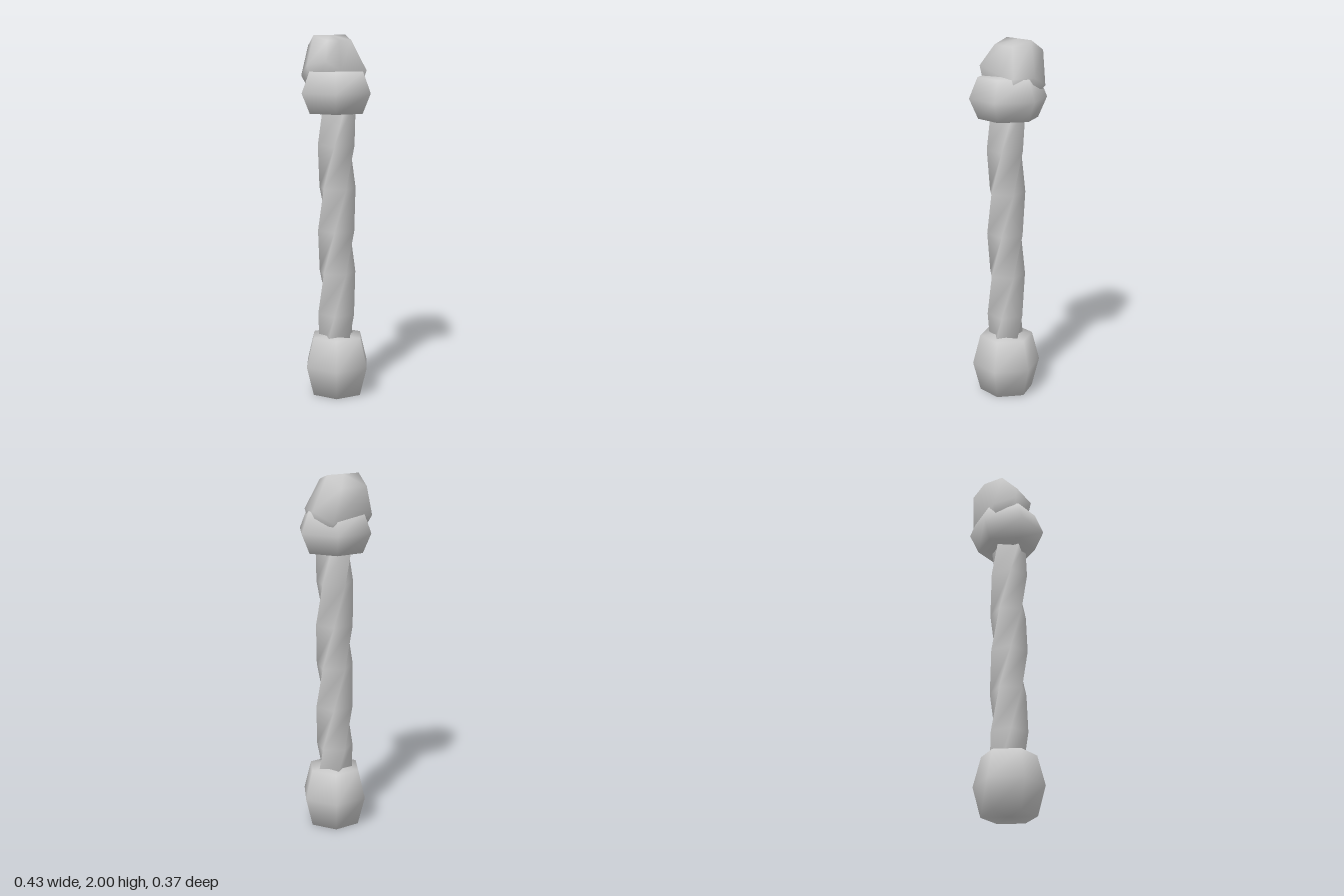
import * as THREE from 'three';

const material = new THREE.MeshStandardMaterial({ color: 0xcccccc });

// Regular polygon ring, counter-clockwise from above, starting at +z
function ring(sides, radius, y, turn, cx = 0, cz = 0) {
  return Array.from({ length: sides }, (_, i) => {
    const a = turn + (i / sides) * Math.PI * 2;
    return [cx + radius * Math.sin(a), y, cz + radius * Math.cos(a)];
  });
}

// Closed smooth skin through rings listed from bottom to top
function loft(name, rings, topCentre) {
  const n = rings[0].length;
  const last = (rings.length - 1) * n;
  const mean = r => [0, 1, 2].map(k => r.reduce((s, p) => s + p[k], 0) / n);
  const points = [...rings.flat(), mean(rings[0]), topCentre || mean(rings[rings.length - 1])];
  const bottom = rings.length * n;
  const index = [];
  for (let i = 0; i < n; i++) {
    const j = (i + 1) % n;
    for (let r = 0; r < last; r += n) {
      index.push(r + i, r + j, r + n + j, r + i, r + n + j, r + n + i);
    }
    index.push(bottom, j, i, bottom + 1, last + i, last + j);
  }
  const geometry = new THREE.BufferGeometry();
  geometry.setAttribute('position', new THREE.Float32BufferAttribute(points.flat(), 3));
  geometry.setIndex(index);
  geometry.computeVertexNormals();
  const mesh = new THREE.Mesh(geometry, material);
  mesh.name = name;
  return mesh;
}

// Six-sided barrel with corners on the x axis
function barrel(name, profile, cx, cz) {
  return loft(name, profile.map(([r, y]) => ring(6, r, y, Math.PI / 6, cx, cz)));
}

export function createModel() {
  const group = new THREE.Group();
  group.name = 'clubHandle';

  // Pommel at the foot and collar below the head
  group.add(barrel('pommel', [[0.15, 0], [0.193, 0.165], [0.15, 0.33]], -0.003, 0.0125));
  group.add(barrel('collar', [[0.165, 1.58], [0.214, 1.69], [0.167, 1.805]], 0, 0));

  // Five-sided shaft, each ring turned half a side further
  const shaft = [];
  for (let i = 0; i < 7; i++) {
    shaft.push(ring(5, 0.106, 0.22 + i * 0.237, i * Math.PI / 5, -0.004, 0.0115));
  }
  group.add(loft('shaft', shaft));

  // Uneven stone head leaning backwards
  const rim = [
    [0, 1.81, 0.05], [0.14, 1.81, 0.085], [0.17, 1.81, -0.04], [0.12, 1.755, -0.16],
    [-0.14, 1.78, -0.145], [-0.17, 1.84, -0.02], [-0.12, 1.86, 0.1],
  ];
  const crown = [
    [0, 1.97, 0.033], [0.075, 1.97, 0.033], [0.1, 2, -0.075], [0.08, 1.94, -0.178],
    [-0.08, 1.94, -0.178], [-0.1, 2, -0.075], [-0.075, 1.97, 0.033],
  ];
  const root = rim.map(([x, , z]) => [x * 0.8, 1.7, z * 0.75]);
  group.add(loft('head', [root, rim, crown], [0, 2, -0.075]));

  return group;
}
